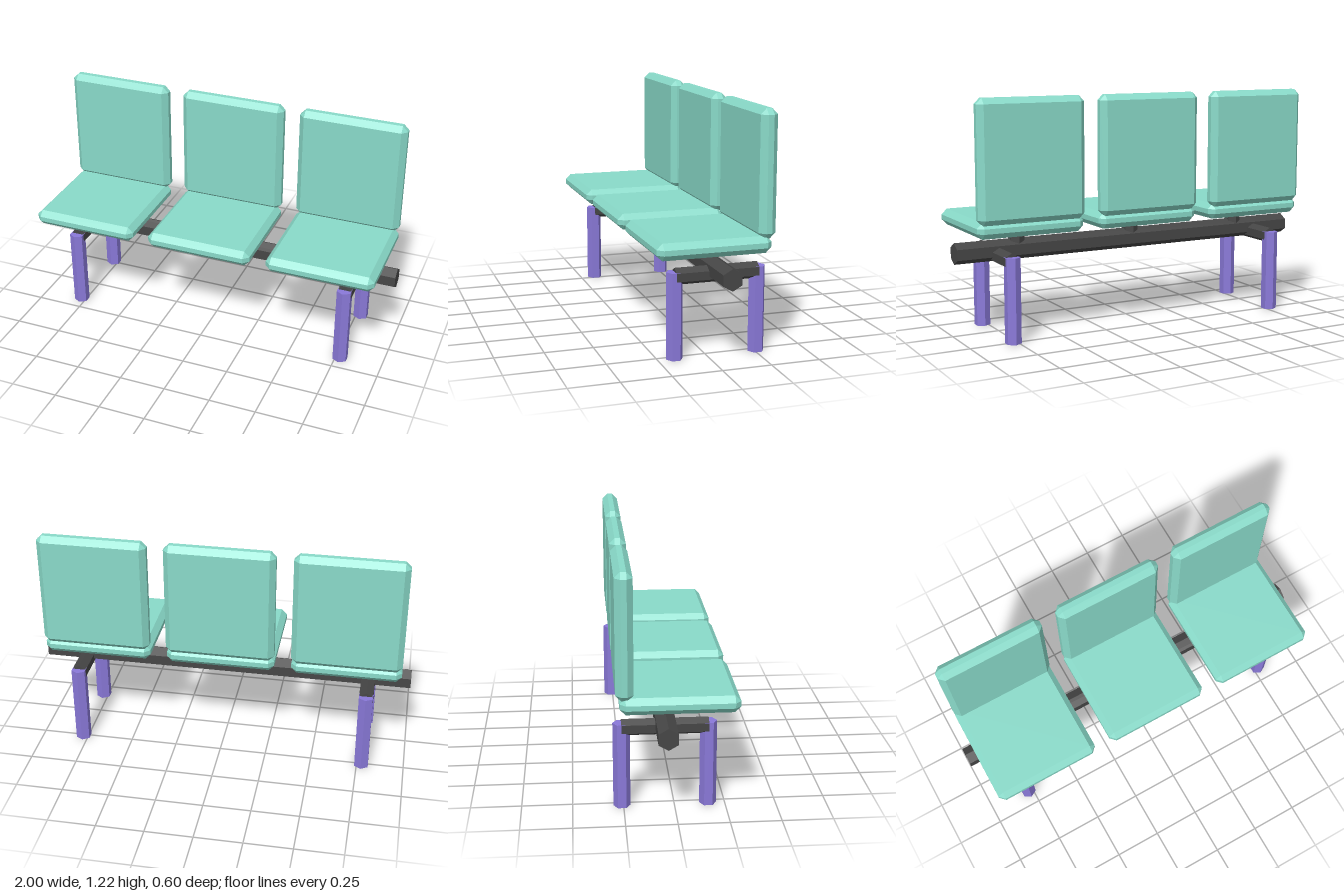
import * as THREE from 'three';
import { ConvexGeometry } from 'three/addons/geometries/ConvexGeometry.js';

const teal = new THREE.MeshStandardMaterial({ color: 0x89dac9 });
teal.name = 'teal cushion';
const purple = new THREE.MeshStandardMaterial({ color: 0x8a79d9 });
purple.name = 'purple legs';
const charcoal = new THREE.MeshStandardMaterial({ color: 0x464646 });
charcoal.name = 'charcoal frame';

const AXIS_Z = -0.046; // depth of the beam's centre line
const BEAM_Y = 0.437;

// Box with every edge chamfered and triangular corners
function chamferedBox(w, h, d, b) {
  const points = [];
  const [x, y, z] = [w / 2, h / 2, d / 2];
  for (const sx of [-1, 1]) for (const sy of [-1, 1]) for (const sz of [-1, 1]) {
    points.push(
      new THREE.Vector3(sx * x, sy * (y - b), sz * (z - b)),
      new THREE.Vector3(sx * (x - b), sy * y, sz * (z - b)),
      new THREE.Vector3(sx * (x - b), sy * (y - b), sz * z),
    );
  }
  return new ConvexGeometry(points);
}

// Faceted six-sided rod along the given axis
function hexRod(radius, length, axis = 'y') {
  const g = new THREE.CylinderGeometry(radius, radius, length, 6).toNonIndexed();
  if (axis === 'x') g.rotateY(Math.PI / 6).rotateZ(Math.PI / 2);
  if (axis === 'z') g.rotateX(Math.PI / 2);
  g.computeVertexNormals();
  return g;
}

function add(parent, name, geometry, material, x, y, z) {
  const mesh = new THREE.Mesh(geometry, material);
  mesh.name = name;
  mesh.position.set(x, y, z);
  parent.add(mesh);
}

export function createModel() {
  const bench = new THREE.Group();
  bench.name = 'bench';

  // Long beam carrying everything
  add(bench, 'beam', hexRod(0.055, 2, 'x'), charcoal, 0, BEAM_Y, AXIS_Z);

  // Three chairs, each on a short post
  const seatShape = chamferedBox(0.574, 0.084, 0.572, 0.029);
  const backShape = chamferedBox(0.574, 0.621, 0.086, 0.029);
  const postShape = hexRod(0.043, 0.12);
  for (const x of [-0.663, 0, 0.663]) {
    const chair = new THREE.Group();
    chair.name = 'chair';
    chair.position.x = x;
    add(chair, 'seat', seatShape, teal, 0, 0.576, 0.016);
    add(chair, 'backrest', backShape, teal, 0, 0.9135, -0.246);
    add(chair, 'post', postShape, charcoal, 0, 0.497, AXIS_Z);
    bench.add(chair);
  }

  // Two leg frames: a crossbar with a leg under each end
  const crossbarShape = hexRod(0.0425, 0.424, 'z');
  const legShape = hexRod(0.042, 0.437);
  for (const x of [-0.775, 0.775]) {
    const frame = new THREE.Group();
    frame.name = 'legFrame';
    frame.position.x = x;
    add(frame, 'crossbar', crossbarShape, charcoal, 0, 0.414, AXIS_Z);
    add(frame, 'frontLeg', legShape, purple, 0, 0.2185, AXIS_Z + 0.212);
    add(frame, 'backLeg', legShape, purple, 0, 0.2185, AXIS_Z - 0.212);
    bench.add(frame);
  }
  return bench;
}
